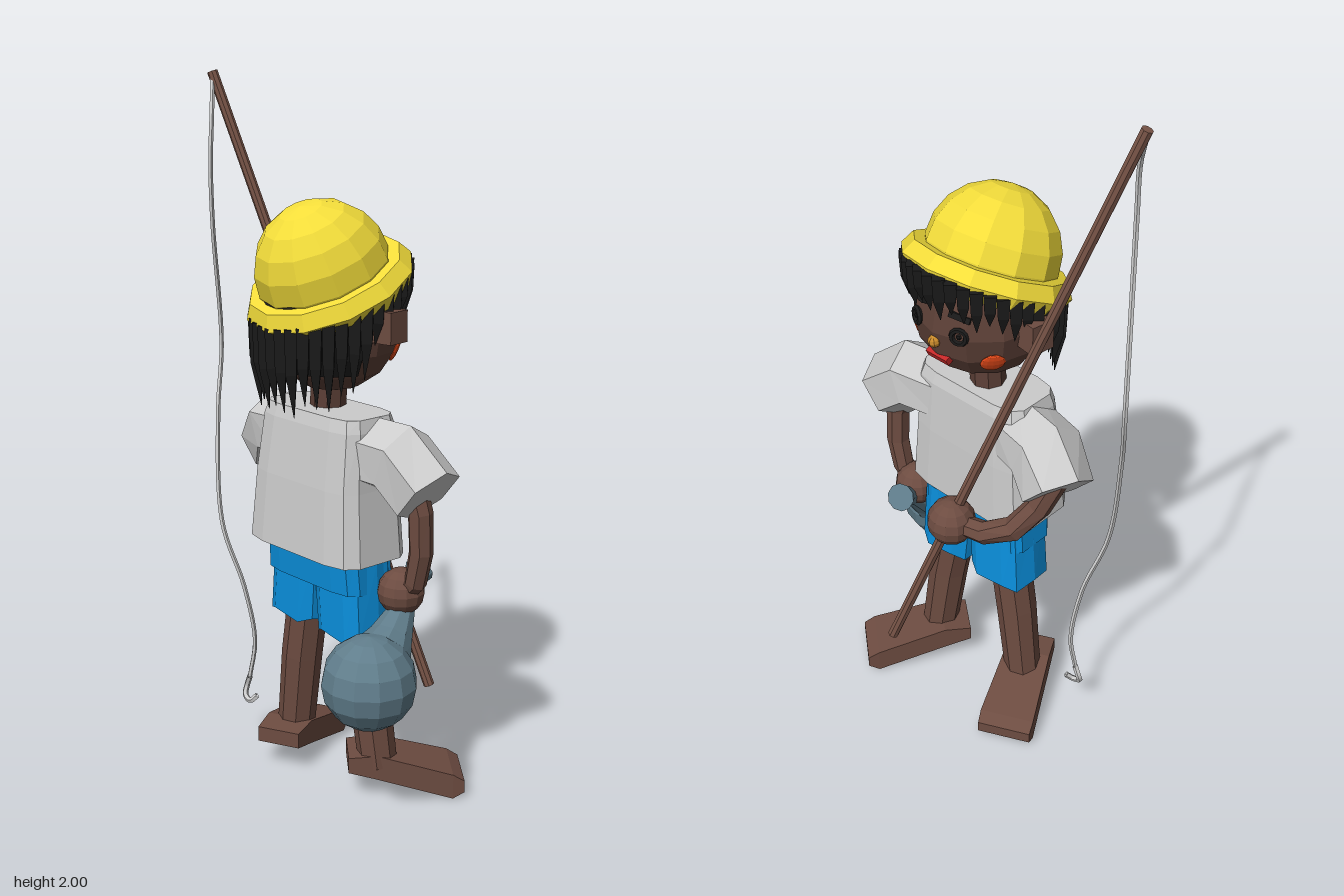
import * as THREE from 'three';

const SKIN = 0x6d4c41, DARK = 0x5d4037, HAIR = 0x1a1a1a, YELLOW = 0xf2dc3a, GREY = 0xcccccc,
  BLUE = 0x0a8fdc, SLATE = 0x607d8b, ROD = 0x795548;
const V = (x, y, z) => new THREE.Vector3(x, y, z);
const DEG = Math.PI / 180;

export function createModel() {
  const root = new THREE.Group();
  root.name = 'boyFishing';

  function add(name, geometry, color, parent = root, thin = false) {
    const material = new THREE.MeshStandardMaterial({ color, flatShading: true });
    if (thin) material.side = THREE.DoubleSide;
    const mesh = new THREE.Mesh(geometry, material);
    mesh.name = name;
    parent.add(mesh);
    return mesh;
  }

  // Skin a series of rings with equal point counts, optionally capping both ends
  function loft(rings, caps = true) {
    const pos = [], tri = (...ps) => ps.forEach((p) => pos.push(p.x, p.y, p.z));
    const n = rings[0].length;
    for (let i = 0; i < rings.length - 1; i++) {
      for (let j = 0; j < n; j++) {
        const k = (j + 1) % n, A = rings[i], B = rings[i + 1];
        tri(A[j], A[k], B[k]);
        tri(A[j], B[k], B[j]);
      }
    }
    if (caps) {
      [rings[0], rings[rings.length - 1]].forEach((ring, end) => {
        const c = ring.reduce((s, p) => s.add(p), V(0, 0, 0)).divideScalar(n);
        ring.forEach((p, j) => {
          const q = ring[(j + 1) % n];
          if (end) tri(c, p, q); else tri(c, q, p);
        });
      });
    }
    const g = new THREE.BufferGeometry();
    g.setAttribute('position', new THREE.Float32BufferAttribute(pos, 3));
    g.computeVertexNormals();
    return g;
  }

  // Tapered tube through points [x, y, z, radius]
  function limb(path, sides = 7) {
    const pts = path.map((p) => V(p[0], p[1], p[2]));
    return loft(pts.map((p, i) => {
      const t = pts[Math.min(i + 1, pts.length - 1)].clone().sub(pts[Math.max(i - 1, 0)]).normalize();
      const v = V(0, 0, 1).addScaledVector(t, -t.z).normalize();
      const u = v.clone().cross(t);
      return Array.from({ length: sides }, (_, j) => {
        const a = (j / sides) * 2 * Math.PI;
        return p.clone().addScaledVector(u, Math.cos(a) * path[i][3]).addScaledVector(v, Math.sin(a) * path[i][3]);
      });
    }));
  }

  // Horizontal rounded-rectangle ring
  function boxRing(x0, x1, z0, z1, y, power = 0.4, n = 12, wave = 0) {
    const soft = (s) => Math.sign(s) * Math.abs(s) ** power;
    return Array.from({ length: n }, (_, j) => {
      const a = ((j + 0.5) / n) * 2 * Math.PI;
      return V((x0 + x1) / 2 + soft(Math.sin(a)) * (x1 - x0) / 2, y + (j % 2 ? wave : 0),
        (z0 + z1) / 2 + soft(Math.cos(a)) * (z1 - z0) / 2);
    });
  }

  const ball = (name, x, y, z, r, color) =>
    add(name, new THREE.SphereGeometry(r, 12, 8), color).position.set(x, y, z);

  // Head, neck and ears
  const hx = 0.027, hy = 1.35, hz = 0.02, hr = 0.19;
  ball('head', hx, hy, hz, hr, DARK);
  add('neck', limb([[0.005, 1.06, 0.02, 0.05], [0.015, 1.22, 0.02, 0.05]], 8), DARK);
  for (const s of [-1, 1]) {
    const ear = add(s > 0 ? 'rightEar' : 'leftEar', new THREE.BoxGeometry(0.06, 0.085, 0.07), SKIN);
    ear.position.set(hx + s * 0.205, 1.36, 0);
    ear.rotation.y = s * 0.15;
  }

  // Facial features sit on the head surface; yaw is measured from -z
  function onFace(name, geometry, color, yaw, y, lift = 0) {
    const m = add(name, geometry, color);
    const dy = y - hy, flat = Math.sqrt(hr * hr - dy * dy), a = yaw * DEG;
    const dir = V(Math.sin(a) * flat, dy, -Math.cos(a) * flat).normalize();
    m.position.set(hx, hy, hz).addScaledVector(dir, hr - 0.004 + lift);
    m.lookAt(m.position.clone().add(dir));
    return m;
  }
  for (const s of [-1, 1]) {
    onFace('eye', new THREE.TorusGeometry(0.02, 0.008, 6, 12), HAIR, s * 24, 1.36);
    onFace('pupil', new THREE.SphereGeometry(0.008, 6, 4), HAIR, s * 24, 1.36);
    onFace('eyebrow', new THREE.BoxGeometry(0.06, 0.016, 0.016), HAIR, s * 24, 1.415).rotateZ(s * 0.2);
    onFace('cheek', new THREE.SphereGeometry(0.034, 12, 6), 0xe64a19, s * 52, 1.275).scale.z = 0.25;
  }
  onFace('nose', new THREE.SphereGeometry(0.018, 8, 6), 0xc98a2b, 0, 1.32);
  onFace('mouth', new THREE.BoxGeometry(0.075, 0.022, 0.02), 0xc62828, 0, 1.265);

  // Hair: a cap at the back plus spikes around the hat, longest behind
  const cap = add('hairCap', new THREE.SphereGeometry(0.205, 10, 5, 0.3, Math.PI - 0.6, 0.9, 1.3), HAIR, root, true);
  cap.position.set(hx, hy, hz);
  const spikes = 38;
  for (let i = 0; i < spikes; i++) {
    const a = (i / spikes) * 2 * Math.PI, c = Math.cos(a);
    const back = THREE.MathUtils.smoothstep(c, -0.1, 0.5);
    const len = 0.1 + 0.11 * back + (i % 3) * 0.015;
    const r = 0.205, top = 1.445 - 0.09 * c;
    const x = hx + Math.sin(a) * r, z = 0.025 + c * r;
    const tip = back > 0.2 ? 0.94 : 0.97;
    add('hairSpike', limb([[x, top, z, 0.024],
      [hx + (x - hx) * 1.0, top - len * 0.5, z, 0.02],
      [hx + (x - hx) * tip, top - len, 0.025 + (z - 0.025) * tip, 0.001]], 4), HAIR);
  }

  // Hat tilted towards the nape
  const hat = new THREE.Group();
  hat.name = 'hat';
  hat.position.set(0.028, 1.445, 0.033);
  hat.rotation.x = 25 * DEG;
  root.add(hat);
  add('hatBrim', new THREE.TorusGeometry(0.192, 0.046, 6, 12).rotateX(Math.PI / 2), YELLOW, hat);
  add('hatCrown', new THREE.SphereGeometry(0.185, 12, 6, 0, 2 * Math.PI, 0, Math.PI * 0.62), YELLOW, hat, true)
    .position.y = 0.055;

  // Shirt with puffed sleeves
  add('shirt', loft([
    boxRing(-0.205, 0.25, -0.085, 0.165, 0.72),
    boxRing(-0.19, 0.23, -0.08, 0.15, 0.92),
    boxRing(-0.175, 0.22, -0.07, 0.13, 1.08),
    boxRing(-0.165, 0.21, -0.06, 0.12, 1.115),
  ]), GREY);
  add('rightSleeve', limb([[0.13, 1.015, 0.02, 0.1], [0.28, 1.01, 0, 0.105], [0.375, 0.93, -0.01, 0.1]], 6), GREY);
  add('leftSleeve', limb([[-0.1, 1.015, 0.02, 0.1], [-0.23, 1.01, -0.01, 0.105], [-0.31, 0.935, -0.045, 0.1]], 6), GREY);

  // Shorts: waist and two flared legs with uneven hems
  add('shortsWaist', loft([boxRing(-0.18, 0.205, -0.07, 0.11, 0.62), boxRing(-0.17, 0.2, -0.07, 0.12, 0.74)]), BLUE);
  add('leftShortsLeg', loft([boxRing(-0.19, 0.015, -0.08, 0.1, 0.48, 0.6, 10, 0.015),
    boxRing(-0.17, 0.03, -0.07, 0.1, 0.7, 0.6, 10)]), BLUE);
  add('rightShortsLeg', loft([boxRing(0.02, 0.215, -0.08, 0.1, 0.475, 0.6, 10, 0.015),
    boxRing(0, 0.205, -0.07, 0.1, 0.7, 0.6, 10)]), BLUE);

  // Legs
  add('leftLeg', limb([[-0.145, 0.09, 0.015, 0.055], [-0.115, 0.34, 0.015, 0.06], [-0.085, 0.56, 0.01, 0.06]], 8), SKIN);
  add('rightLeg', limb([[0.185, 0.09, -0.015, 0.055], [0.155, 0.34, 0, 0.06], [0.115, 0.56, 0.01, 0.06]], 8), SKIN);

  // Feet: wedges from heel to toe, turned out
  function foot(name, heel, toe) {
    const d = V(toe[0] - heel[0], 0, toe[1] - heel[1]).normalize();
    const u = V(0, 1, 0).cross(d);
    const ring = (t, half, y0, y1) => [[1, y1], [-1, y1], [-1, y0], [1, y0]].map(([s, y]) =>
      V(heel[0] + (toe[0] - heel[0]) * t, y, heel[1] + (toe[1] - heel[1]) * t).addScaledVector(u, s * half));
    add(name, loft([ring(0, 0.065, 0.08, 0.125), ring(0.25, 0.07, 0.06, 0.132),
      ring(0.9, 0.082, 0.002, 0.075), ring(1, 0.08, 0.02, 0.055)]), SKIN);
  }
  foot('leftFoot', [-0.1, 0.12], [-0.25, -0.185]);
  foot('rightFoot', [0.115, 0.04], [0.318, -0.218]);

  // Arms and hands
  add('rightArm', limb([[0.31, 0.97, -0.01, 0.035], [0.335, 0.87, -0.02, 0.035], [0.335, 0.76, -0.025, 0.034],
    [0.315, 0.67, -0.025, 0.032], [0.27, 0.63, -0.025, 0.03]]), SKIN);
  add('leftArm', limb([[-0.3, 0.97, -0.04, 0.036], [-0.265, 0.87, -0.07, 0.036], [-0.215, 0.79, -0.115, 0.036],
    [-0.14, 0.755, -0.155, 0.034], [-0.04, 0.75, -0.175, 0.03]]), SKIN);
  ball('rightHand', 0.26, 0.63, -0.025, 0.066, SKIN);
  ball('leftHand', -0.035, 0.75, -0.175, 0.07, SKIN);

  // Flask: round body with a neck through the right hand
  ball('flaskBody', 0.325, 0.435, 0.15, 0.13, SLATE);
  add('flaskNeck', limb([[0.31, 0.47, 0.105, 0.095], [0.29, 0.52, 0.04, 0.062], [0.255, 0.595, -0.05, 0.028],
    [0.235, 0.635, -0.095, 0.028], [0.222, 0.655, -0.13, 0.042]], 10), SLATE);

  // Fishing rod, line and hook
  add('fishingRod', limb([[0.14, 0.24, -0.26, 0.016], [-0.44, 1.995, 0.06, 0.015]], 8), ROD);
  const line = new THREE.CatmullRomCurve3([
    V(-0.44, 1.985, 0.06), V(-0.4, 1.88, 0.095), V(-0.39, 1.75, 0.11), V(-0.4, 1.58, 0.1), V(-0.45, 1.22, 0.04),
    V(-0.42, 1.02, 0.08), V(-0.37, 0.7, 0.11), V(-0.32, 0.5, 0.07), V(-0.31, 0.32, 0.04), V(-0.325, 0.2, 0.05),
  ]);
  add('fishingLine', new THREE.TubeGeometry(line, 60, 0.007, 5), GREY, root, true);
  const hook = new THREE.CatmullRomCurve3([V(-0.325, 0.2, 0.05), V(-0.34, 0.165, 0.05), V(-0.335, 0.14, 0.06),
    V(-0.31, 0.128, 0.06), V(-0.295, 0.145, 0.045)]);
  add('hook', new THREE.TubeGeometry(hook, 16, 0.009, 5), GREY, root, true);

  return root;
}
